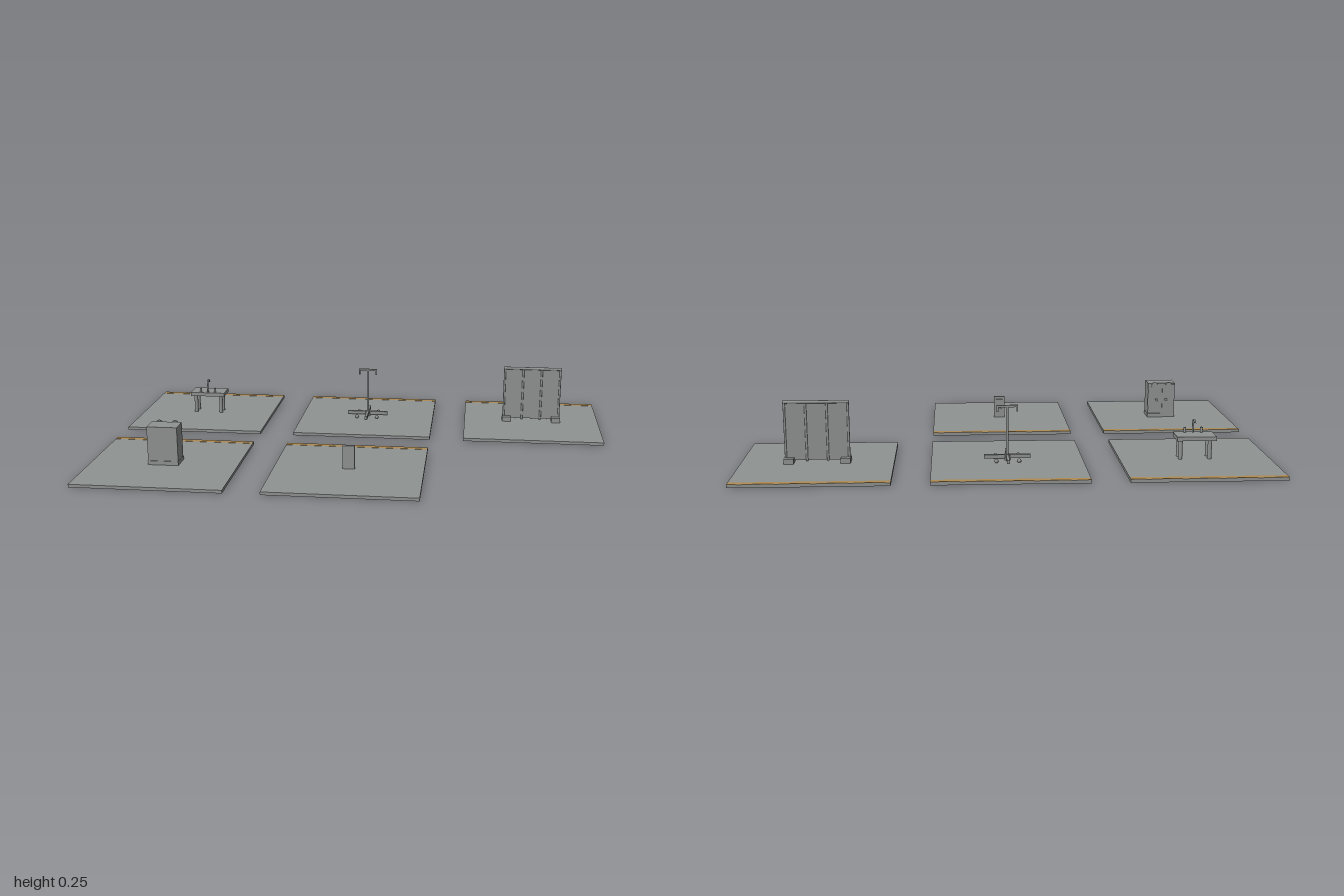
import * as THREE from 'three';

const grey = new THREE.MeshStandardMaterial({ color: 0x8f9391 });
grey.name = 'equipment grey';
const ochre = new THREE.MeshStandardMaterial({ color: 0xb08c52 });
ochre.name = 'ochre edge';

const FLOOR = 0.012;

function add(parent, name, geometry, x, y, z, material = grey) {
  const mesh = new THREE.Mesh(geometry, material);
  mesh.name = name;
  mesh.position.set(x, y, z);
  parent.add(mesh);
  return mesh;
}
// Box given by its centre in x and z and its bottom and top in y
function box(parent, name, w, d, y0, y1, x, z, material) {
  return add(parent, name, new THREE.BoxGeometry(w, y1 - y0, d), x, (y0 + y1) / 2, z, material);
}
function post(parent, name, r, y0, y1, x, z) {
  return add(parent, name, new THREE.CylinderGeometry(r, r, y1 - y0, 16), x, (y0 + y1) / 2, z);
}
// Disc or knob whose axis runs along z
function knob(parent, name, r, depth, x, y, z) {
  const mesh = add(parent, name, new THREE.CylinderGeometry(r, r, depth, 20), x, y, z);
  mesh.rotation.x = Math.PI / 2;
  return mesh;
}

// Square display tile with a coloured strip along its rear edge
function makeTile(name, x, z) {
  const g = new THREE.Group();
  g.name = name;
  g.position.set(x, 0, z);
  box(g, 'tile', 0.574, 0.57, 0, FLOOR, 0, 0);
  box(g, 'edgeStrip', 0.572, 0.024, FLOOR - 0.002, FLOOR + 0.001, 0, -0.272, ochre);
  return g;
}

// Wash table with a curved tap and two handles
function buildWashTable(g) {
  box(g, 'tableTop', 0.15, 0.085, 0.088, 0.104, 0, -0.005);
  for (const x of [-0.056, 0.056])
    for (const z of [-0.02, 0.02]) post(g, 'tableLeg', 0.008, FLOOR, 0.088, x, z);
  for (const x of [-0.032, 0.032]) {
    post(g, 'tapHandle', 0.005, 0.104, 0.124, x, 0.026);
  }
  const path = new THREE.CatmullRomCurve3([
    [0.104, 0.028], [0.14, 0.028], [0.153, 0.022], [0.154, 0.002], [0.146, -0.006],
  ].map(([y, z]) => new THREE.Vector3(0, y, z)));
  add(g, 'spout', new THREE.TubeGeometry(path, 20, 0.004, 10), 0, 0, 0);
}

// Rolling stand with crossed base, casters and two hanging hooks
function buildStand(g) {
  box(g, 'baseArmX', 0.175, 0.013, 0.019, 0.033, 0, 0);
  box(g, 'baseArmZ', 0.01, 0.175, 0.019, 0.033, 0, 0);
  for (const x of [-0.043, 0.043])
    for (const z of [-0.043, 0.043])
      add(g, 'caster', new THREE.SphereGeometry(0.008, 14, 10), x, 0.019, z);
  post(g, 'hub', 0.012, FLOOR, 0.034, 0, 0);
  post(g, 'pole', 0.005, 0.03, 0.222, 0, 0);
  box(g, 'crossbar', 0.08, 0.008, 0.216, 0.224, 0, 0);
  for (const x of [-0.037, 0.037]) box(g, 'hook', 0.006, 0.008, 0.199, 0.218, x, 0);
}

// Folding privacy screen in three bays
function buildScreen(g) {
  box(g, 'screenPanel', 0.234, 0.004, 0.022, 0.24, 0, -0.003);
  for (let i = 0; i < 4; i++) {
    post(g, 'upright', 0.0045, 0.018, 0.246, -0.118 + i * 0.0787, -0.003);
  }
  const rail = add(g, 'topRail', new THREE.CylinderGeometry(0.006, 0.006, 0.246, 14), 0, 0.244, -0.003);
  rail.rotation.z = Math.PI / 2;
  for (const x of [-0.106, 0.106]) box(g, 'foot', 0.037, 0.053, FLOOR, 0.032, x, -0.003);
}

// Cabinet whose doors face the rear
function buildCabinet(g) {
  box(g, 'cabinetBody', 0.118, 0.074, FLOOR, 0.163, 0, 0);
  box(g, 'plinth', 0.12, 0.08, FLOOR, 0.028, 0, 0);
  for (const x of [-0.031, 0.031]) {
    box(g, 'door', 0.054, 0.004, 0.03, 0.158, x, -0.038);
    knob(g, 'topDisc', 0.014, 0.006, x, 0.154, -0.042);
    knob(g, 'doorKnob', 0.006, 0.01, x * 0.65, 0.09, -0.043);
  }
}

// Small upright control panel facing the rear
function buildControlPanel(g) {
  box(g, 'panelBody', 0.047, 0.013, FLOOR, 0.104, 0, -0.002);
  box(g, 'display', 0.03, 0.004, 0.068, 0.092, 0, -0.01);
  knob(g, 'dial', 0.01, 0.008, 0, 0.045, -0.011);
}

export function createModel() {
  const model = new THREE.Group();
  model.name = 'equipmentDisplay';
  const stations = [
    ['washTableStation', -0.713, -0.356, buildWashTable],
    ['standStation', 0, -0.356, buildStand],
    ['screenStation', 0.713, -0.356, buildScreen],
    ['cabinetStation', -0.713, 0.356, buildCabinet],
    ['controlPanelStation', 0, 0.356, buildControlPanel],
  ];
  for (const [name, x, z, build] of stations) {
    const tile = makeTile(name, x, z);
    build(tile);
    model.add(tile);
  }
  return model;
}
